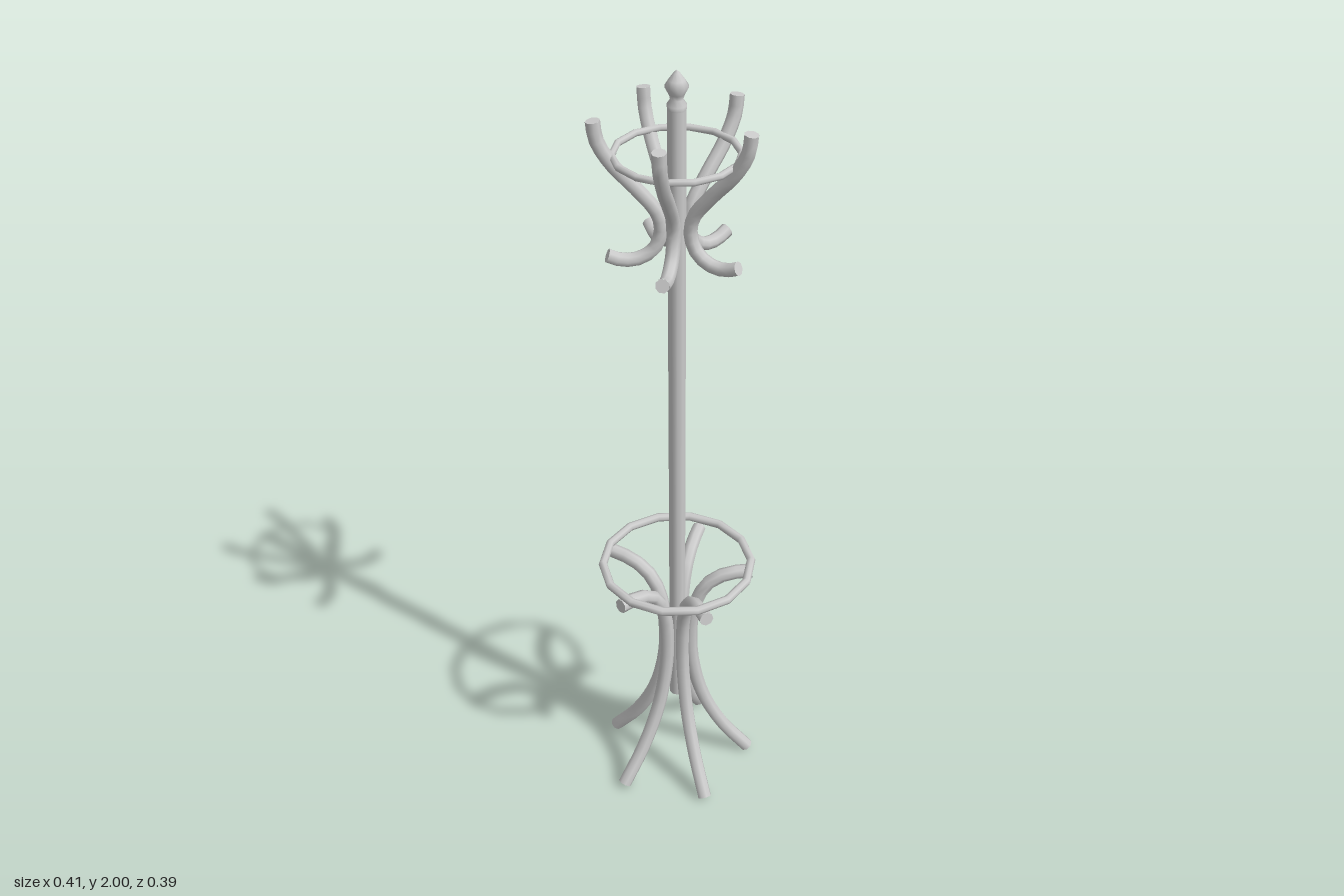
import * as THREE from 'three';

const deg = THREE.MathUtils.degToRad;

export function createModel() {
  const model = new THREE.Group();
  const stand = new THREE.Group();
  stand.name = 'coatStand';
  stand.position.set(-0.01, 0, -0.003);
  model.add(stand);
  const mat = new THREE.MeshStandardMaterial({ color: 0xcccccc });

  const add = (parent, name, geometry) => {
    const mesh = new THREE.Mesh(geometry, mat);
    mesh.name = name;
    parent.add(mesh);
    return mesh;
  };

  // Bent rod with flat end caps; profile points are (radius, height)
  const bentRod = (name, profile, radius, angle) => {
    const group = new THREE.Group();
    group.name = name;
    const curve = new THREE.CatmullRomCurve3(profile.map(([r, y]) => new THREE.Vector3(r, y, 0)));
    add(group, name + 'Rod', new THREE.TubeGeometry(curve, 20, radius, 8));
    for (const t of [0, 1]) {
      const cap = add(group, name + 'End', new THREE.CircleGeometry(radius, 8));
      const out = curve.getTangentAt(t).multiplyScalar(t ? 1 : -1);
      cap.position.copy(curve.getPointAt(t));
      cap.quaternion.setFromUnitVectors(new THREE.Vector3(0, 0, 1), out);
    }
    group.rotation.y = -deg(angle);
    stand.add(group);
  };

  const ring = (name, radius, tube, y) => {
    const mesh = add(stand, name, new THREE.TorusGeometry(radius, tube, 8, 14));
    mesh.rotation.x = Math.PI / 2;
    mesh.position.y = y;
  };

  // Central pole
  const pole = add(stand, 'pole', new THREE.CylinderGeometry(0.021, 0.021, 1.68, 10));
  pole.position.y = 1.08;

  // Turned finial
  const finial = [[0.021, 1.915], [0.022, 1.925], [0.014, 1.937], [0.017, 1.948],
    [0.026, 1.965], [0.018, 1.978], [0.007, 1.993], [0, 2]];
  add(stand, 'finial', new THREE.LatheGeometry(finial.map(([r, y]) => new THREE.Vector2(r, y)), 10));

  // Umbrella ring and hook ring
  ring('umbrellaRing', 0.188, 0.011, 0.693);
  ring('hookRing', 0.137, 0.008, 1.815);

  // Splayed legs curling out under the umbrella ring
  const legProfile = [[0.194, 0.012], [0.125, 0.105], [0.07, 0.22], [0.042, 0.34], [0.035, 0.44],
    [0.044, 0.54], [0.075, 0.615], [0.125, 0.65], [0.19, 0.659]];
  [0, 70, 140, 210, 290].forEach((a) => bentRod('leg', legProfile, 0.018, a));

  // S-shaped coat hooks
  const hookProfile = [[0.174, 1.898], [0.168, 1.855], [0.138, 1.8], [0.085, 1.738], [0.042, 1.68],
    [0.034, 1.638], [0.05, 1.595], [0.085, 1.573], [0.122, 1.572], [0.152, 1.584]];
  for (let i = 0; i < 5; i++) bentRod('hook', hookProfile, 0.016, 32 + i * 72);

  return model;
}
